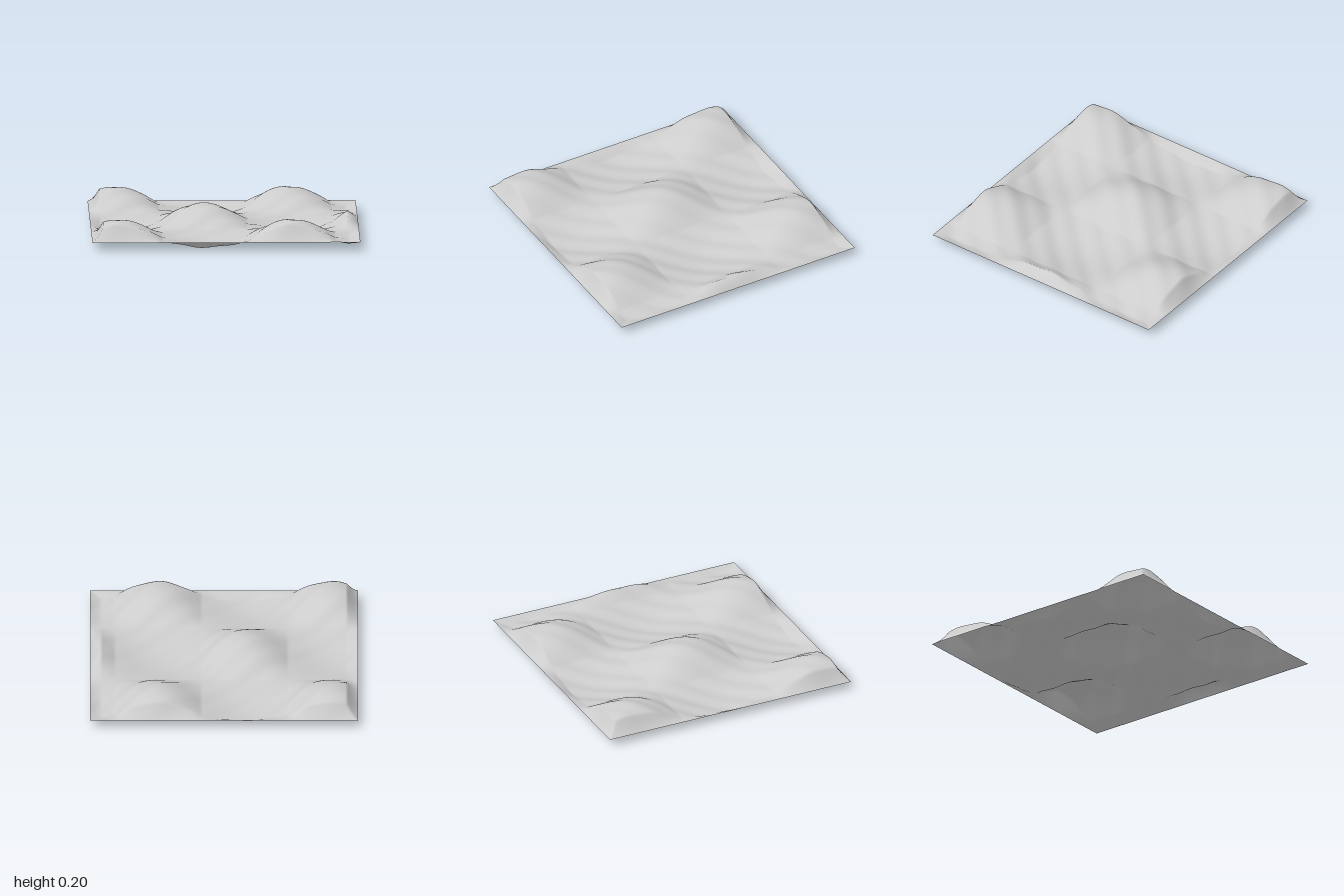
import * as THREE from 'three';

const SEGMENTS = 192;   // grid cells per side
const BASE = 0.06;      // height of the flat rim
const RIM = 0.083;      // width of the ramp down to the rim

// Height of the rolling ground at a point
function groundHeight(x, z) {
  const wave = -Math.sin((Math.PI * (x - 0.17)) / 0.645) * Math.cos((Math.PI * (z - 0.015)) / 0.785);
  const hills = wave * (wave > 0 ? 0.138 : 0.055);   // tall hills, shallow hollows
  const ripples = 0.004 * Math.sin(24 * (x + z));    // fine diagonal ripples
  const edge = 1 - Math.max(Math.abs(x), Math.abs(z));
  return BASE + (hills + ripples) * Math.min(1, Math.max(0, edge / RIM));
}

export function createModel() {
  const group = new THREE.Group();
  group.name = 'hillyGround';

  const ground = new THREE.MeshStandardMaterial({ color: 0xcccccc, side: THREE.DoubleSide });
  ground.name = 'ground grey';

  // Open sheet raised into a checkerboard of hills and hollows
  const geometry = new THREE.PlaneGeometry(2, 2, SEGMENTS, SEGMENTS);
  geometry.rotateX(-Math.PI / 2);
  const p = geometry.attributes.position;
  for (let i = 0; i < p.count; i++) p.setY(i, groundHeight(p.getX(i), p.getZ(i)));
  geometry.computeVertexNormals();

  const terrain = new THREE.Mesh(geometry, ground);
  terrain.name = 'terrain';
  group.add(terrain);
  return group;
}
